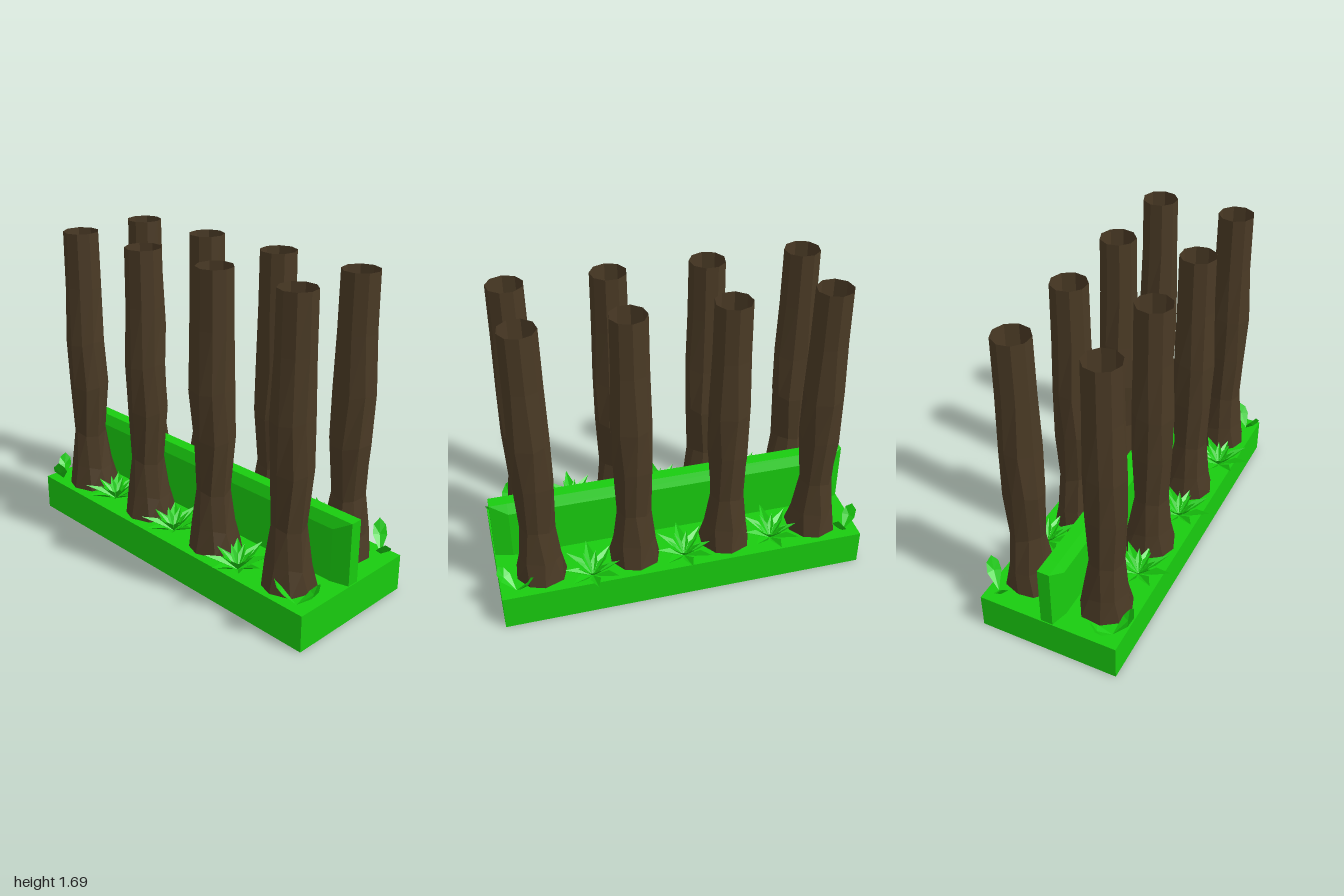
import * as THREE from 'three';

const GREEN = 0x19cc0f, BARK = 0x4a3a25;
const mat = (color) => new THREE.MeshStandardMaterial({ color, flatShading: true, side: THREE.DoubleSide });

function addMesh(parent, name, geometry, material) {
  const mesh = new THREE.Mesh(geometry, material);
  mesh.name = name;
  parent.add(mesh);
  return mesh;
}

function fromTriangles(points, index) {
  const g = new THREE.BufferGeometry();
  g.setAttribute('position', new THREE.Float32BufferAttribute(points.flat(), 3));
  g.setIndex(index);
  const flat = g.toNonIndexed();
  flat.computeVertexNormals();
  return flat;
}

// Planter box with an open underside
function planterGeometry() {
  const g = new THREE.BoxGeometry(2, 0.2, 0.77).translate(0, 0.1, 0);
  const idx = Array.from(g.index.array);
  g.setIndex([...idx.slice(0, 18), ...idx.slice(24)]);
  g.clearGroups();
  return g;
}

// Long divider, chamfered along the top and toward both ends
function dividerGeometry() {
  const section = (x, w, shoulder) => [
    [x, 0.19, w], [x, shoulder, w], [x, 0.545, 0.033],
    [x, 0.545, -0.033], [x, shoulder, -w], [x, 0.19, -w],
  ];
  const pts = [
    ...section(-0.995, 0.033, 0.545), ...section(-0.9, 0.06, 0.49),
    ...section(0.9, 0.06, 0.49), ...section(0.995, 0.033, 0.545),
  ];
  const idx = [];
  for (let s = 0; s < 3; s++) {
    for (let i = 0; i < 5; i++) {
      const a = s * 6 + i, b = a + 6;
      idx.push(a, b, b + 1, a, b + 1, a + 1);
    }
  }
  idx.push(0, 2, 3, 0, 3, 5, 18, 21, 20, 18, 23, 21);
  return fromTriangles(pts, idx);
}

// Hollow trunk: rings of [height, radius, z shift], slightly roughened
const RINGS = [
  [0.193, 0.143, -0.008], [0.33, 0.115, -0.004], [0.53, 0.09, 0.003], [0.82, 0.108, -0.002],
  [1.08, 0.106, 0.003], [1.39, 0.098, 0], [1.69, 0.095, 0],
];
function trunkGeometry() {
  const sides = 9, pts = [], idx = [];
  RINGS.forEach(([y, r, dz], k) => {
    for (let i = 0; i < sides; i++) {
      const rough = k < 5 ? 0.04 * Math.sin(i * 2.3 + k * 1.9) : 0;
      const a = (i / sides) * Math.PI * 2 + (k < 5 ? 0.1 * Math.sin(k * 2.1 + i) : 0);
      const rr = r * (1 + rough);
      pts.push([rr * Math.sin(a), y + (k && k < 5 ? 0.012 * Math.sin(i * 1.7 + k) : 0), rr * Math.cos(a) + dz]);
      if (k) {
        const j = (i + 1) % sides, lo = (k - 1) * sides, hi = k * sides;
        idx.push(lo + i, lo + j, hi + j, lo + i, hi + j, hi + i);
      }
    }
  });
  return fromTriangles(pts, idx);
}

// Folded leaf from base to tip, widest part way along, with a sunken midrib
function leafGeometry(base, tip, width, widest, lift, fold) {
  const b = new THREE.Vector3(...base), t = new THREE.Vector3(...tip);
  const side = new THREE.Vector3(t.z - b.z, 0, b.x - t.x).normalize().multiplyScalar(width / 2);
  const mid = b.clone().lerp(t, widest);
  mid.y += lift;
  const l = mid.clone().add(side), r = mid.clone().sub(side);
  mid.y -= fold;
  return fromTriangles([b, l, mid, r, t].map((v) => v.toArray()), [0, 2, 1, 0, 3, 2, 1, 2, 4, 2, 3, 4]);
}

// Star-shaped fern: a spread outer ring and a steeper inner ring
function makeFern(material) {
  const fern = new THREE.Group();
  const outer = leafGeometry([0, 0, 0], [0, 0.085, 0.175], 0.055, 0.5, 0.018, 0.018);
  const inner = leafGeometry([0, 0, 0], [0, 0.1, 0.09], 0.035, 0.5, 0.01, 0.012);
  for (let i = 0; i < 8; i++) {
    const leaf = addMesh(fern, 'outerLeaf', outer, material);
    leaf.rotation.y = (i * Math.PI) / 4;
    leaf.scale.setScalar(i % 4 === 0 ? 1.04 : i % 2 ? 0.98 : 0.85);
    addMesh(fern, 'innerLeaf', inner, material).rotation.y = ((i + 0.5) * Math.PI) / 4;
  }
  return fern;
}

// Broad pentagonal leaf for the corner sprouts
function broadLeafGeometry(dir, length, height, width) {
  const [dx, dz] = [Math.cos(dir), Math.sin(dir)];
  const at = (f, h, s) => [dx * length * f - dz * s * width, h * height, dz * length * f + dx * s * width];
  return fromTriangles(
    [at(0, 0, 0), at(0.6, 0.5, 0.5), at(0.9, 0.78, 0.42), at(1, 1, 0),
      at(0.9, 0.78, -0.42), at(0.6, 0.5, -0.5), at(0.72, 0.48, 0)],
    [0, 6, 1, 1, 6, 2, 2, 6, 3, 3, 6, 4, 4, 6, 5, 5, 6, 0]);
}

export function createModel() {
  const model = new THREE.Group();
  model.name = 'plantedTrunkDivider';
  const green = mat(GREEN), bark = mat(BARK);

  addMesh(model, 'planterBase', planterGeometry(), green);
  addMesh(model, 'divider', dividerGeometry(), green);

  // Two rows of four trunks
  const trunk = trunkGeometry();
  for (const side of [1, -1]) {
    for (const x of [-0.762, -0.253, 0.257, 0.768]) {
      const t = addMesh(model, side > 0 ? 'frontTrunk' : 'backTrunk', trunk, bark);
      t.position.set(x, 0, side * 0.221);
      t.rotation.y = side > 0 ? 0 : Math.PI;
    }
  }

  // Ferns between the trunks
  for (const [x, z] of [[-0.5, 0.265], [0, 0.275], [0.51, 0.305], [-0.5, -0.28], [0, -0.298], [0.51, -0.322]]) {
    const fern = makeFern(green);
    fern.name = z > 0 ? 'frontFern' : 'backFern';
    fern.position.set(x, 0.198, z);
    model.add(fern);
  }

  // Two-leaf sprouts in the corners
  const tall = broadLeafGeometry(Math.PI * 0.74, 0.11, 0.15, 0.075);
  const low = broadLeafGeometry(-Math.PI * 0.25, 0.11, 0.115, 0.075);
  for (const sx of [1, -1]) {
    for (const sz of [1, -1]) {
      const sprout = new THREE.Group();
      sprout.name = 'cornerSprout';
      addMesh(sprout, 'tallLeaf', tall, green);
      addMesh(sprout, 'lowLeaf', low, green);
      sprout.position.set(sx * 0.918, 0.198, sz * 0.328);
      sprout.scale.set(sx, 1, sz);
      model.add(sprout);
    }
  }
  return model;
}
